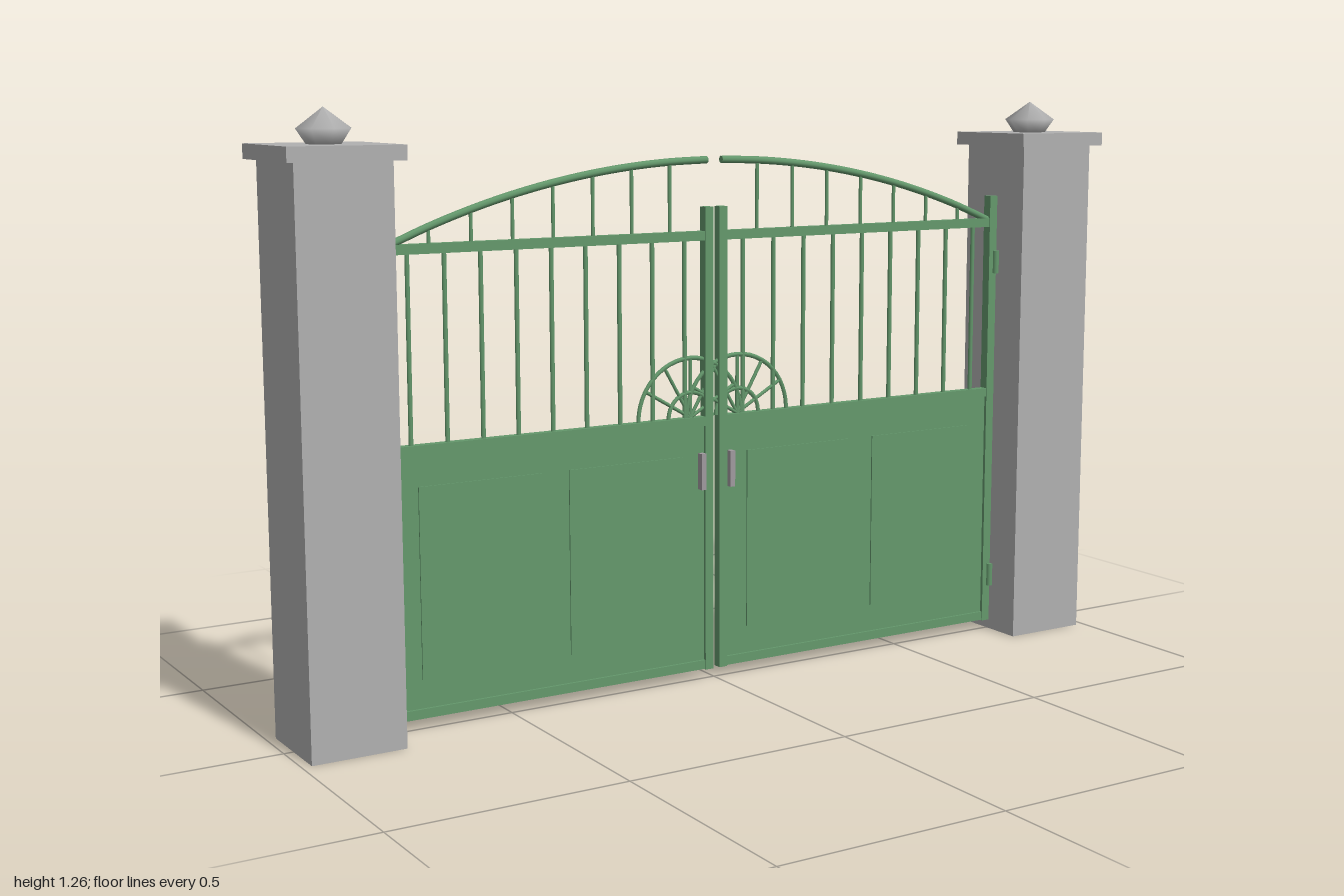
import * as THREE from 'three';

const mat = (name, color) => {
  const m = new THREE.MeshStandardMaterial({ color });
  m.name = name;
  return m;
};

export function createModel() {
  const model = new THREE.Group();
  model.name = 'gate';
  const green = mat('green paint', 0x64986c);
  const stone = mat('grey stone', 0xb0b0b0);
  const metal = mat('handle metal', 0xa09a9e);

  const add = (parent, name, geometry, material, x = 0, y = 0, z = 0) => {
    const mesh = new THREE.Mesh(geometry, material);
    mesh.name = name;
    mesh.position.set(x, y, z);
    parent.add(mesh);
    return mesh;
  };
  // box given by its x and y limits and its depth
  const slab = (parent, name, x0, x1, y0, y1, depth, material = green, z = 0) =>
    add(parent, name, new THREE.BoxGeometry(Math.abs(x1 - x0), y1 - y0, depth), material,
      (x0 + x1) / 2, (y0 + y1) / 2, z);
  // round rod between two points in the gate plane
  const rod = (parent, name, x0, y0, x1, y1, r) => {
    const dx = x1 - x0, dy = y1 - y0;
    const mesh = add(parent, name, new THREE.CylinderGeometry(r, r, Math.hypot(dx, dy), 8), green,
      (x0 + x1) / 2, (y0 + y1) / 2);
    mesh.rotation.z = Math.atan2(-dx, dy);
  };

  const finialProfile = [[0, 0], [0.035, 0], [0.057, 0.032], [0, 0.073]]
    .map(([x, y]) => new THREE.Vector2(x, y));

  for (const s of [1, -1]) {
    const side = s > 0 ? 'left' : 'right';

    // stone pillar with cap and faceted finial
    const pillar = new THREE.Group();
    pillar.name = side + 'Pillar';
    pillar.position.x = s * 0.88;
    model.add(pillar);
    slab(pillar, 'shaft', -0.1, 0.1, 0, 1.162, 0.2, stone);
    slab(pillar, 'cap', -0.12, 0.12, 1.162, 1.192, 0.24, stone);
    add(pillar, 'finial', new THREE.LatheGeometry(finialProfile, 8), stone, 0, 1.19);

    const leaf = new THREE.Group();
    leaf.name = side + 'Leaf';
    model.add(leaf);

    // frame
    slab(leaf, 'outerPost', s * 0.757, s * 0.778, 0.022, 1.045, 0.022);
    slab(leaf, 'innerPost', s * 0.008, s * 0.028, 0.022, 1.045, 0.022);
    const rails = { bottomRail: 0.034, middleRail: 0.58, topRail: 0.983 };
    for (const [name, y] of Object.entries(rails)) {
      slab(leaf, name, s * 0.02, s * 0.765, y - 0.01, y + 0.01, 0.02);
    }

    // sheet panel with two raised fields showing on both faces
    slab(leaf, 'panel', s * 0.02, s * 0.765, 0.034, 0.58, 0.008);
    for (const x of [0.083, 0.425]) {
      slab(leaf, 'raisedField', s * x, s * (x + 0.278), 0.105, 0.505, 0.014);
    }

    // upright bars
    for (let i = 0; i < 9; i++) {
      const x = s * (0.0745 + i * 0.08);
      rod(leaf, 'bar', x, 0.585, x, 0.98, 0.005);
    }

    // arch and its short bars
    const archY = x => 1.145 - (1.926 - Math.sqrt(1.926 ** 2 - x * x));
    const archPoints = [];
    for (let i = 0; i <= 8; i++) {
      const x = 0.018 + (i / 8) * 0.742;
      archPoints.push(new THREE.Vector3(s * x, archY(x), 0));
      if (i > 0 && i < 8) rod(leaf, 'archBar', s * x, 0.985, s * x, archY(x), 0.004);
    }
    add(leaf, 'arch', new THREE.TubeGeometry(
      new THREE.CatmullRomCurve3(archPoints), 32, 0.008, 8), green);
    for (const [i, turn] of [[0, -s], [8, s]]) {
      const end = add(leaf, 'archEnd', new THREE.CircleGeometry(0.008, 8), green);
      end.position.copy(archPoints[i]);
      end.rotation.y = turn * Math.PI / 2;
    }

    // half-wheel ornament
    const cx = s * 0.06, cy = 0.59;
    for (const r of [0.13, 0.055]) {
      add(leaf, 'fanArc', new THREE.TorusGeometry(r, 0.005, 6, 24, Math.PI), green, cx, cy);
    }
    for (let i = 1; i < 6; i++) {
      const a = (i / 6) * Math.PI, c = Math.cos(a), d = Math.sin(a);
      rod(leaf, 'fanSpoke', cx, cy, cx + 0.13 * c, cy + 0.13 * d, 0.004);
    }

    // hinges and front handle
    for (const y of [0.135, 0.89]) {
      add(leaf, 'hinge', new THREE.CylinderGeometry(0.008, 0.008, 0.053, 10), green, s * 0.776, y, 0.012);
    }
    slab(leaf, 'handle', s * 0.031, s * 0.043, 0.43, 0.51, 0.016, metal, 0.012);
  }
  return model;
}
